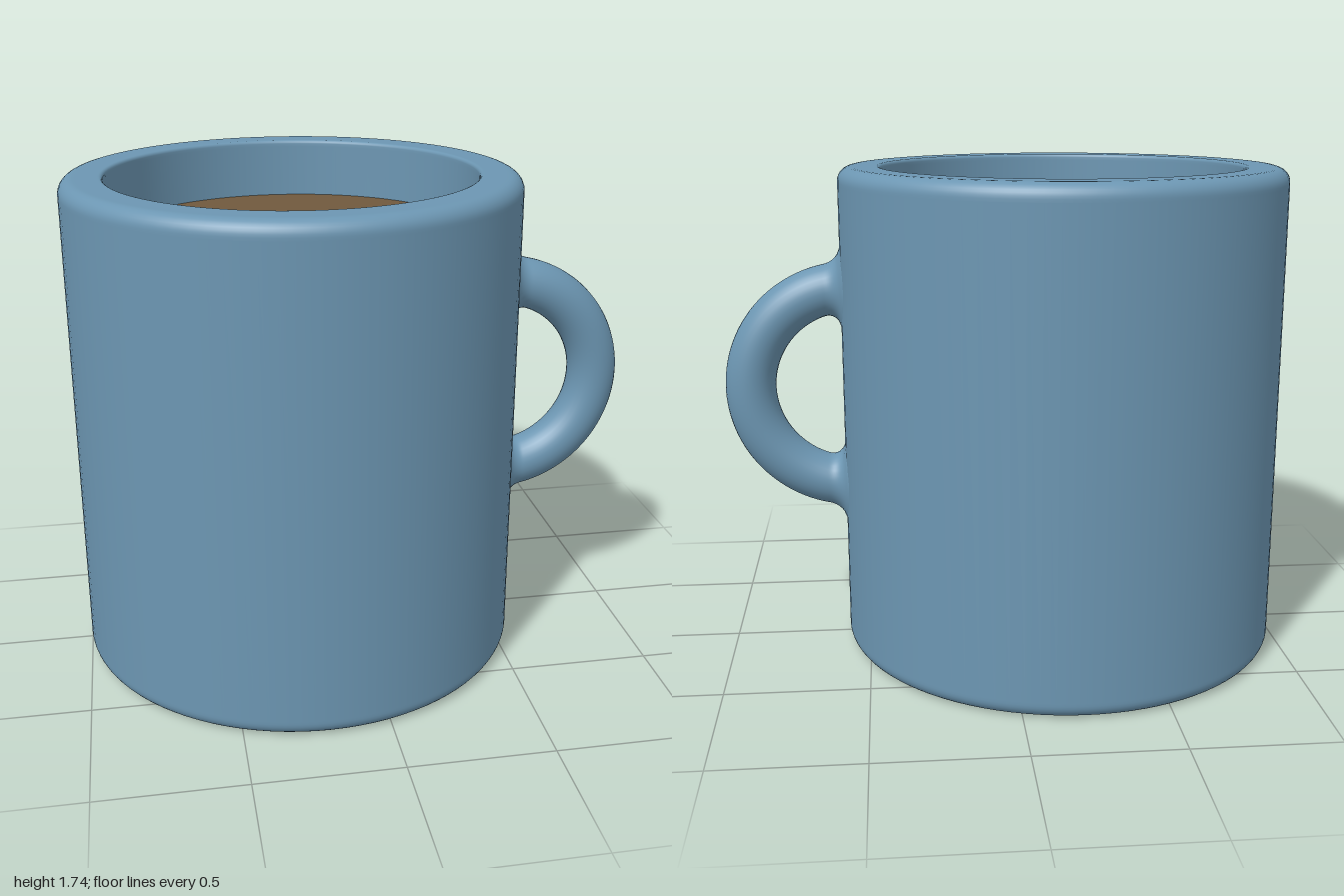
import * as THREE from 'three';
import { mergeVertices } from 'three/addons/utils/BufferGeometryUtils.js';

const AXIS_X = -0.21;          // mug axis
const R = 0.79, H = 1.74;      // outer radius and height
const INNER = 0.64, LEVEL = 1.53;

// Points of a rounded corner, angles in degrees
function corner(cx, cy, r, from, to, steps = 8) {
  return Array.from({ length: steps + 1 }, (_, i) => {
    const a = THREE.MathUtils.degToRad(from + (to - from) * i / steps);
    return new THREE.Vector2(cx + r * Math.cos(a), cy + r * Math.sin(a));
  });
}

function bodyGeometry() {
  const p = (x, y) => new THREE.Vector2(x, y);
  const e = 0.05, lip = 0.012;
  return new THREE.LatheGeometry([
    p(0, 0), p(R - e - 0.01, 0),
    ...corner(R - e, e, e, -90, 0),
    p(R, e + 0.01), p(R, H - e - 0.01),
    ...corner(R - e, H - e, e, 0, 90),
    p(R - e - 0.01, H), p(INNER + lip + 0.005, H),
    ...corner(INNER + lip, H - lip, lip, 90, 180, 4),
    p(INNER, H - lip - 0.01), p(INNER, 0.16),
    p(INNER - 0.01, 0.15), p(0, 0.15),
  ], 96);
}

// Ring handle whose ends flare into the curved wall
function handleGeometry() {
  const ring = 0.36, tube = 0.09, fillet = 0.06;
  const cx = 0.55 - AXIS_X, cy = 0.957, arc = THREE.MathUtils.degToRad(200);
  let g = new THREE.TorusGeometry(ring, tube, 32, 200, arc).rotateZ(-arc / 2);
  g.deleteAttribute('normal');
  g.deleteAttribute('uv');
  g = mergeVertices(g);
  const pos = g.attributes.position;
  const v = new THREE.Vector3(), c = new THREE.Vector3();
  for (let i = 0; i < pos.count; i++) {
    v.fromBufferAttribute(pos, i);
    c.set(v.x, v.y, 0).setLength(ring);
    const gap = Math.hypot(v.x + cx, v.z) - R;          // distance from the wall
    const d = THREE.MathUtils.clamp(gap, 0, fillet);
    const flare = fillet - Math.sqrt(fillet ** 2 - (fillet - d) ** 2);
    if (flare > 0) {
      v.sub(c).setLength(tube + flare).add(c);
      v.x = Math.sqrt((R + gap) ** 2 - v.z ** 2) - cx;  // keep that distance
    }
    pos.setXYZ(i, v.x, v.y, v.z);
  }
  g.computeVertexNormals();
  return g.translate(cx, cy, 0);
}

export function createModel() {
  const glaze = new THREE.MeshStandardMaterial({ color: 0x6c96b2 });
  glaze.name = 'blue glaze';
  const coffee = new THREE.MeshStandardMaterial({ color: 0x70593d });
  coffee.name = 'coffee brown';

  const model = new THREE.Group();
  model.name = 'mug';
  const add = (name, geometry, material) => {
    const mesh = new THREE.Mesh(geometry, material);
    mesh.name = name;
    mesh.position.x = AXIS_X;
    model.add(mesh);
  };

  add('body', bodyGeometry(), glaze);
  add('handle', handleGeometry(), glaze);
  // Drink fills the cavity and reaches just into the wall
  const depth = LEVEL - 0.14;
  add('drink', new THREE.CylinderGeometry(INNER + 0.005, INNER + 0.005, depth, 96)
    .translate(0, LEVEL - depth / 2, 0), coffee);
  return model;
}
